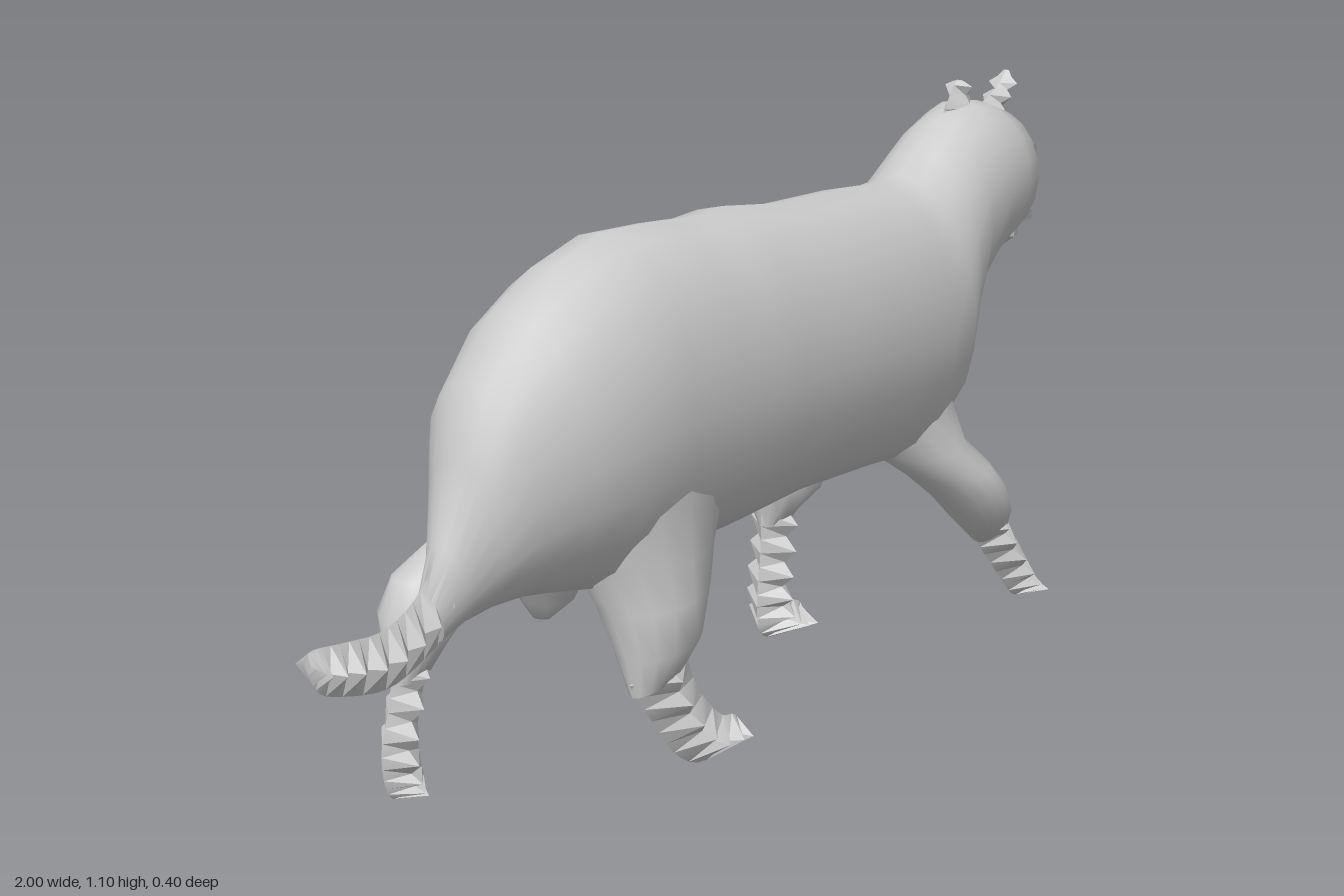
import * as THREE from 'three';
import { toCreasedNormals } from 'three/addons/utils/BufferGeometryUtils.js';

const fur = new THREE.MeshStandardMaterial({ color: 0xcccccc });
fur.name = 'grey fur';

// Loft through elliptical sections [ax, ay, bx, by, halfWidth, zCentre];
// a and b are the two ends of the section in the side plane.
function loft(name, sections, sides, crease) {
  const pos = [], idx = [];
  for (const [ax, ay, bx, by, w, z] of sections) {
    for (let j = 0; j < sides; j++) {
      const t = (j / sides) * Math.PI * 2, c = Math.cos(t) / 2;
      pos.push((ax + bx) / 2 + (ax - bx) * c, (ay + by) / 2 + (ay - by) * c, z + w * Math.sin(t));
    }
  }
  const n = sections.length;
  for (let i = 0; i < n - 1; i++) {
    for (let j = 0; j < sides; j++) {
      const k = (j + 1) % sides, a = i * sides, b = a + sides;
      idx.push(a + j, a + k, b + j, a + k, b + k, b + j);
    }
  }
  // End caps
  const end = (n - 1) * sides;
  for (let j = 1; j < sides - 1; j++) idx.push(0, j + 1, j, end, end + j, end + j + 1);
  const geo = new THREE.BufferGeometry();
  geo.setAttribute('position', new THREE.Float32BufferAttribute(pos, 3));
  geo.setIndex(idx);
  const mesh = new THREE.Mesh(toCreasedNormals(geo, crease), fur);
  mesh.name = name;
  return mesh;
}

// Diamond-section limb whose width alternates wide and narrow along its length
function ridged(name, ends, rings, wide, narrow, z) {
  const a = new THREE.CatmullRomCurve3(ends.map((e) => new THREE.Vector3(e[0], e[1], 0)));
  const b = new THREE.CatmullRomCurve3(ends.map((e) => new THREE.Vector3(e[2], e[3], 0)));
  const sections = [];
  for (let i = 0; i < rings; i++) {
    const p = a.getPoint(i / (rings - 1)), q = b.getPoint(i / (rings - 1));
    const last = i === rings - 1;
    sections.push([p.x, p.y, q.x, q.y, last ? 0.006 : i % 2 ? wide : narrow, z]);
  }
  return loft(name, sections, 4, 0.5);
}

export function createModel() {
  const cat = new THREE.Group();
  cat.name = 'cat';

  // Trunk, neck and head in one skin, ending in a sunken face
  cat.add(loft('bodyAndHead', [
    [-0.75, 0.46, -0.72, 0.37, 0.025, 0],
    [-0.715, 0.53, -0.67, 0.39, 0.045, 0],
    [-0.67, 0.66, -0.62, 0.4, 0.085, 0],
    [-0.635, 0.785, -0.56, 0.4, 0.125, 0],
    [-0.53, 0.88, -0.5, 0.39, 0.165, 0],
    [-0.42, 0.94, -0.41, 0.37, 0.187, 0],
    [-0.3, 0.975, -0.28, 0.38, 0.192, 0],
    [-0.15, 0.97, -0.14, 0.385, 0.194, 0],
    [-0.06, 0.962, -0.05, 0.385, 0.193, 0],
    [0.02, 0.968, 0.02, 0.388, 0.192, 0],
    [0.18, 0.948, 0.18, 0.398, 0.19, 0],
    [0.4, 0.945, 0.4, 0.39, 0.188, 0],
    [0.51, 0.937, 0.53, 0.38, 0.178, 0],
    [0.57, 0.942, 0.64, 0.43, 0.165, 0],
    [0.63, 0.985, 0.68, 0.555, 0.148, 0],
    [0.7, 1.035, 0.72, 0.64, 0.135, 0],
    [0.78, 1.065, 0.79, 0.71, 0.132, 0],
    [0.85, 1.055, 0.86, 0.75, 0.128, 0],
    [0.92, 1.03, 0.91, 0.765, 0.11, 0],
    [0.955, 0.985, 0.945, 0.785, 0.088, 0],
    [0.935, 0.94, 0.935, 0.81, 0.07, 0],
  ], 20, 1.0));

  // Brow, nose ridge, muzzle and chin around the sunken eyes
  cat.add(loft('brow', [
    [0.88, 1.03, 0.88, 0.9, 0.1, 0],
    [0.955, 0.985, 0.955, 0.907, 0.082, 0],
    [0.98, 0.955, 0.98, 0.908, 0.055, 0],
    [1, 0.925, 0.998, 0.905, 0.012, 0],
  ], 10, 0.9));
  cat.add(loft('noseRidge', [
    [0.93, 0.93, 0.93, 0.82, 0.022, 0],
    [0.997, 0.915, 0.997, 0.825, 0.006, 0],
  ], 6, 0.6));
  cat.add(loft('muzzle', [
    [0.88, 0.87, 0.88, 0.78, 0.1, 0],
    [0.955, 0.848, 0.95, 0.785, 0.078, 0],
    [0.998, 0.845, 0.99, 0.795, 0.022, 0],
  ], 10, 0.9));
  cat.add(loft('chin', [
    [0.89, 0.83, 0.9, 0.755, 0.03, 0],
    [0.94, 0.84, 0.945, 0.738, 0.045, 0],
    [0.975, 0.83, 0.97, 0.74, 0.035, 0],
    [0.995, 0.81, 0.99, 0.765, 0.015, 0],
  ], 6, 0.5));

  // Ears on the midline
  cat.add(ridged('backEar', [
    [0.71, 1.02, 0.84, 1.03], [0.74, 1.07, 0.82, 1.065], [0.765, 1.1, 0.79, 1.095], [0.775, 1.105, 0.785, 1.103],
  ], 6, 0.032, 0.016, 0));
  cat.add(ridged('frontEar', [
    [0.83, 1.04, 0.95, 1.0], [0.88, 1.055, 0.95, 1.04], [0.925, 1.078, 0.957, 1.075], [0.953, 1.105, 0.957, 1.105],
  ], 8, 0.034, 0.016, 0));

  // Tail, curling up at the tip
  cat.add(ridged('tail', [
    [-0.69, 0.38, -0.71, 0.52], [-0.75, 0.35, -0.77, 0.455], [-0.83, 0.325, -0.84, 0.425],
    [-0.92, 0.34, -0.92, 0.43], [-0.98, 0.365, -0.985, 0.438], [-0.998, 0.4, -1, 0.435],
  ], 20, 0.036, 0.015, 0));

  // Legs: smooth upper part, then a ridged shin and paw
  const legs = {
    leftFrontLeg: {
      z: 0.12, rings: 16, wide: 0.05, narrow: 0.028,
      upper: [
        [0.63, 0.65, 0.4, 0.62, 0.11, 0.02], [0.645, 0.52, 0.44, 0.48, 0.12, 0.02],
        [0.67, 0.42, 0.5, 0.39, 0.115, 0.04], [0.705, 0.365, 0.56, 0.335, 0.1, 0.088],
        [0.74, 0.315, 0.61, 0.28, 0.083, 0.115], [0.775, 0.26, 0.66, 0.225, 0.066, 0.12],
        [0.81, 0.21, 0.71, 0.175, 0.03, 0.12],
      ],
      lower: [
        [0.785, 0.245, 0.685, 0.2], [0.83, 0.185, 0.74, 0.14], [0.88, 0.12, 0.81, 0.065],
        [0.92, 0.065, 0.855, 0.02], [0.935, 0.04, 0.9, 0.008], [0.935, 0.03, 0.92, 0.01],
      ],
    },
    leftBackLeg: {
      z: 0.12, rings: 16, wide: 0.046, narrow: 0.026,
      upper: [
        [-0.06, 0.68, -0.5, 0.68, 0.1, 0.07], [-0.09, 0.52, -0.47, 0.52, 0.12, 0.05],
        [-0.14, 0.43, -0.425, 0.42, 0.115, 0.06], [-0.18, 0.37, -0.4, 0.34, 0.095, 0.09],
        [-0.22, 0.29, -0.39, 0.26, 0.072, 0.115], [-0.25, 0.22, -0.38, 0.19, 0.03, 0.12],
      ],
      lower: [
        [-0.24, 0.25, -0.388, 0.215], [-0.215, 0.175, -0.33, 0.13], [-0.175, 0.115, -0.27, 0.05],
        [-0.13, 0.075, -0.205, 0.008], [-0.095, 0.065, -0.12, 0.008], [-0.083, 0.045, -0.09, 0.02],
      ],
    },
    rightFrontLeg: {
      z: -0.115, rings: 17, wide: 0.058, narrow: 0.03,
      upper: [
        [0.42, 0.51, 0.31, 0.51, 0.035, -0.13], [0.465, 0.46, 0.265, 0.47, 0.065, -0.13],
        [0.47, 0.4, 0.262, 0.41, 0.09, -0.112], [0.42, 0.345, 0.278, 0.35, 0.085, -0.115],
        [0.38, 0.3, 0.287, 0.3, 0.045, -0.115], [0.37, 0.27, 0.29, 0.27, 0.025, -0.115],
      ],
      lower: [
        [0.38, 0.3, 0.287, 0.3], [0.368, 0.22, 0.285, 0.21], [0.358, 0.15, 0.275, 0.12],
        [0.375, 0.1, 0.285, 0.05], [0.42, 0.075, 0.32, 0.03], [0.425, 0.06, 0.41, 0.035],
      ],
    },
    rightBackLeg: {
      z: -0.118, rings: 15, wide: 0.045, narrow: 0.022,
      upper: [
        [-0.5, 0.48, -0.6, 0.48, 0.04, -0.115], [-0.51, 0.42, -0.68, 0.43, 0.065, -0.125],
        [-0.54, 0.37, -0.71, 0.37, 0.075, -0.125], [-0.6, 0.32, -0.713, 0.32, 0.055, -0.12],
        [-0.63, 0.27, -0.715, 0.26, 0.025, -0.118],
      ],
      lower: [
        [-0.61, 0.3, -0.713, 0.29], [-0.645, 0.23, -0.725, 0.22], [-0.66, 0.16, -0.745, 0.15],
        [-0.655, 0.1, -0.74, 0.09], [-0.65, 0.075, -0.725, 0.06], [-0.66, 0.065, -0.7, 0.057],
      ],
    },
  };
  for (const [name, leg] of Object.entries(legs)) {
    const group = new THREE.Group();
    group.name = name;
    group.add(loft('thigh', leg.upper, 16, 1.2));
    group.add(ridged('shinAndPaw', leg.lower, leg.rings, leg.wide, leg.narrow, leg.z));
    cat.add(group);
  }

  // Small fold under the belly by the hind legs
  cat.add(loft('bellyFold', [
    [-0.38, 0.42, -0.54, 0.42, 0.07, 0], [-0.41, 0.36, -0.51, 0.37, 0.04, 0], [-0.46, 0.335, -0.49, 0.34, 0.015, 0],
  ], 8, 1));

  return cat;
}
